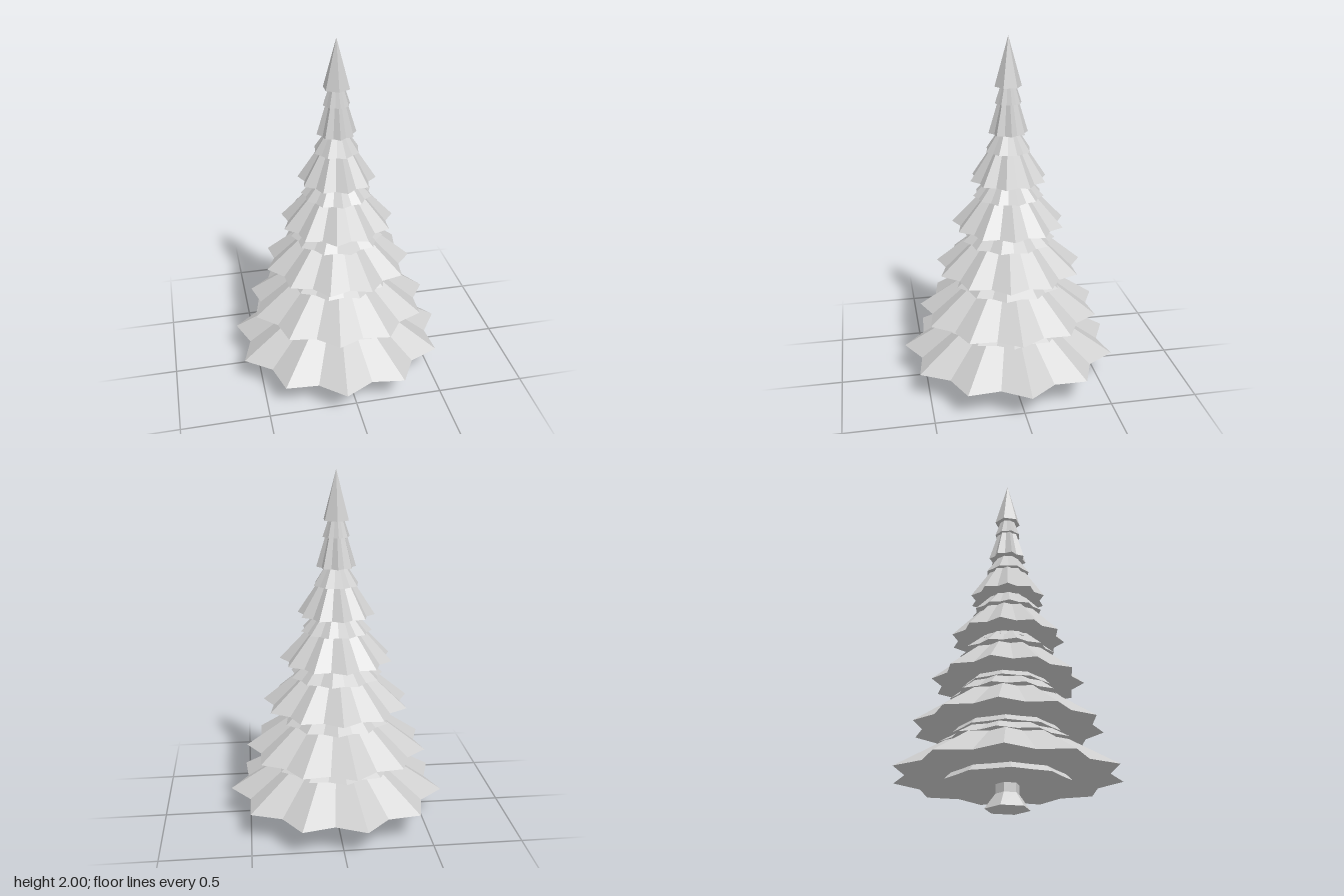
import * as THREE from 'three';

export function createModel() {
  const tree = new THREE.Group();
  tree.name = 'firTree';
  const grey = new THREE.MeshStandardMaterial({ color: 0xcccccc, flatShading: true });
  grey.name = 'light grey';

  const add = (name, geometry, y) => {
    const mesh = new THREE.Mesh(geometry.toNonIndexed(), grey);
    mesh.geometry.computeVertexNormals();
    mesh.name = name;
    mesh.position.set(-0.01, y, 0);
    tree.add(mesh);
  };

  // Closed cone with a zigzag rim: n tips, valleys pulled in; angle from +x towards +z
  const starCone = (name, y, apex, radius, n, valley, angle) => {
    const h = apex - y;
    const geo = new THREE.ConeGeometry(radius, h, n * 2, 1);
    const pos = geo.attributes.position;
    for (let i = 0; i < pos.count; i++) {
      const x = pos.getX(i), z = pos.getZ(i);
      const k = Math.round(Math.atan2(x, z) / (Math.PI / n));
      if (k % 2 !== 0) {
        pos.setX(i, x * valley);
        pos.setZ(i, z * valley);
      }
    }
    geo.rotateY(THREE.MathUtils.degToRad(90 - angle));
    geo.translate(0, h / 2, 0);
    add(name, geo, y);
  };

  // Large branch tiers: [rim y, apex y, radius, tips, valley ratio, angle]
  const tiers = [
    [0.165, 0.545, 0.62, 11, 0.865, -1.8],
    [0.425, 0.785, 0.52, 11, 0.88, 1.5],
    [0.69, 1.04, 0.42, 11, 0.87, 8.5],
    [0.95, 1.29, 0.32, 11, 0.87, 3.5],
    [1.21, 1.54, 0.217, 10, 0.85, 13],
    [1.475, 1.84, 0.11, 8, 0.82, 0],
  ];
  tiers.forEach((t) => starCone('branchTier', ...t));

  // Small skirts peeking out under each tier: [rim y, radius, slope]
  const skirts = [
    [0.33, 0.375, 0.6],
    [0.59, 0.315, 0.8],
    [0.855, 0.265, 0.85],
    [1.115, 0.2, 1.05],
    [1.375, 0.13, 1.5],
    [1.64, 0.075, 3],
  ];
  skirts.forEach(([y, r, slope], i) =>
    starCone('smallSkirt', y, y + r * slope, r, i < 4 ? 11 : 8, 0.9, 5 + i * 7));

  // Inner collars just below each tier: [bottom y, radius]
  const collars = [[0.13, 0.345], [0.39, 0.3], [0.655, 0.25], [0.915, 0.185], [1.185, 0.115], [1.455, 0.065]];
  collars.forEach(([y, r], i) => starCone('innerCollar', y, y + r * 1.05, r, i < 4 ? 10 : 8, 0.94, 10 + i * 5));

  // Pointed six-sided treetop
  const top = new THREE.ConeGeometry(0.075, 0.27, 6);
  top.translate(0, 0.135, 0);
  add('treetop', top, 1.73);

  // Six-sided trunk with a flared foot
  const foot = new THREE.CylinderGeometry(0.065, 0.123, 0.08, 6);
  foot.translate(0, 0.04, 0);
  add('trunkFoot', foot, 0);
  const trunk = new THREE.CylinderGeometry(0.065, 0.065, 0.1, 6, 1, true);
  trunk.translate(0, 0.05, 0);
  add('trunk', trunk, 0.08);

  return tree;
}
